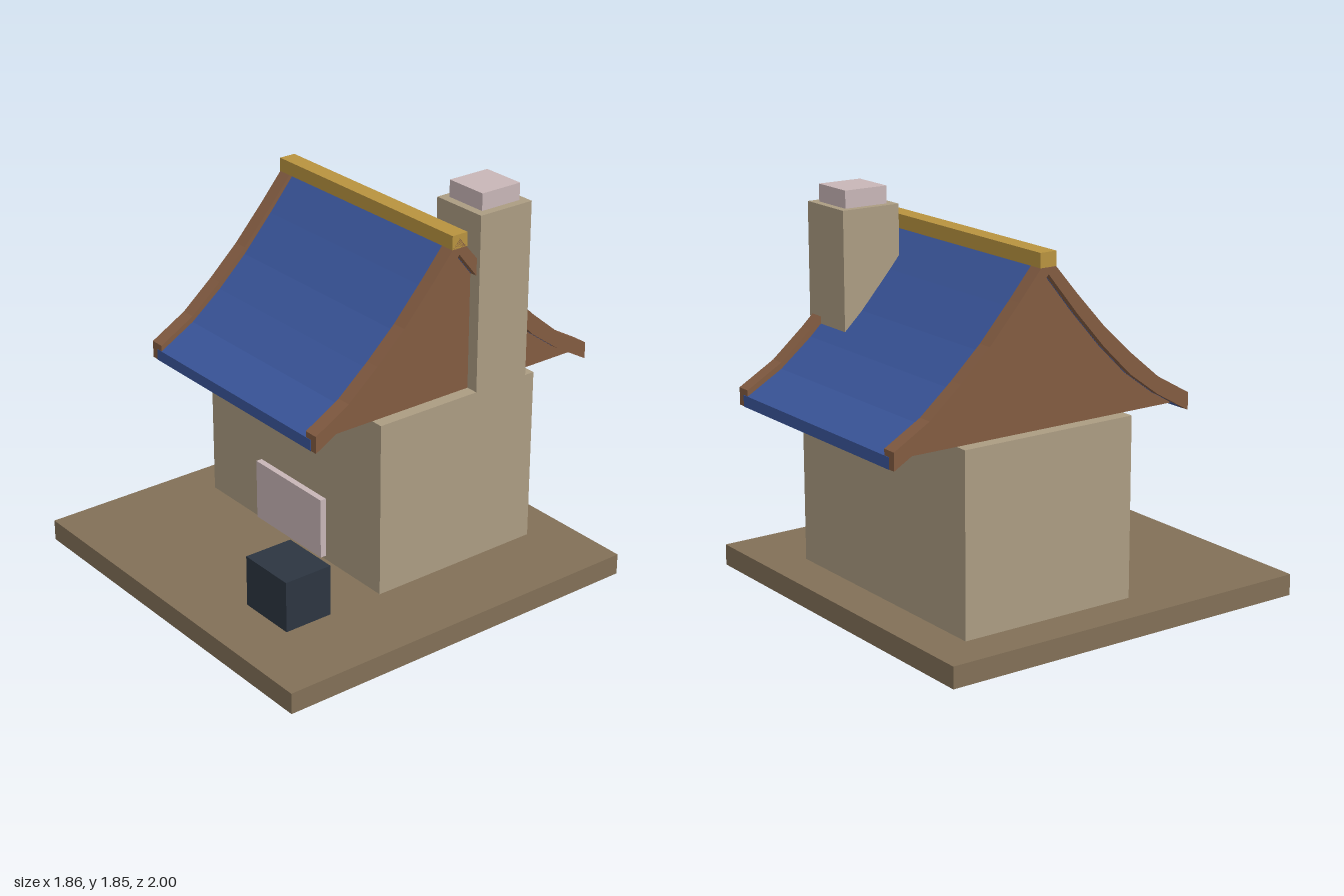
import * as THREE from 'three';

const mat = (name, color) => {
  const m = new THREE.MeshStandardMaterial({ color });
  m.name = name;
  return m;
};

export function createModel() {
  const group = new THREE.Group();
  const stone = mat('wall stone', 0xab9c82);
  const earth = mat('base earth', 0x827057);
  const blue = mat('roof blue', 0x3a569c);
  const wood = mat('wood brown', 0x825b41);
  const gold = mat('ridge gold', 0xb8933f);
  const pink = mat('pale pink', 0xc8b6b7);
  const slate = mat('dark slate', 0x2c3541);

  const add = (name, geometry, material) => {
    const mesh = new THREE.Mesh(geometry, material);
    mesh.name = name;
    group.add(mesh);
  };

  // Box given by its limits on each axis
  const box = (name, material, [x0, x1], [y0, y1], [z0, z1]) => {
    const g = new THREE.BoxGeometry(x1 - x0, y1 - y0, z1 - z0);
    g.translate((x0 + x1) / 2, (y0 + y1) / 2, (z0 + z1) / 2);
    add(name, g, material);
  };

  box('base', earth, [-0.93, 0.93], [0, 0.1], [-0.865, 1]);
  box('walls', stone, [-0.735, 0.535], [0.1, 0.935], [-0.665, 0.215]);
  box('door', pink, [-0.345, 0.145], [0.12, 0.415], [0.21, 0.245]);
  box('crate', slate, [0.245, 0.535], [0.1, 0.345], [0.49, 0.73]);
  box('chimney', stone, [0.245, 0.535], [0.93, 1.77], [-0.615, -0.325]);
  box('chimneyCap', pink, [0.28, 0.495], [1.77, 1.85], [-0.58, -0.365]);
  box('ridgeBeam', gold, [-0.715, 0.515], [1.64, 1.705], [-0.268, -0.185]);

  // Half roof profile: distance from ridge, underside height, trim top height
  const ridgeZ = -0.225;
  const profile = [
    [0.775, 0.9, 0.98], [0.6, 1.0, 1.08], [0.445, 1.113, 1.21],
    [0.3, 1.255, 1.345], [0.15, 1.425, 1.51], [0, 1.61, 1.685],
  ];
  // Mirror a half line from eave to ridge into a full line from front to back
  const mirror = (half) => [
    ...half, ...half.slice(0, -1).reverse().map(([d, y]) => [-d, y]),
  ];
  // Extrude a z-y outline along x
  const extrude = (name, material, outline, x0, x1) => {
    const shape = new THREE.Shape(outline.map(([d, y]) => new THREE.Vector2(d + ridgeZ, y)));
    const g = new THREE.ExtrudeGeometry(shape, { depth: x1 - x0, bevelEnabled: false });
    g.rotateY(-Math.PI / 2);
    g.translate(x1, 0, 0);
    add(name, g, material);
  };
  // Curved shell following the profile, with a share of its full thickness
  const shell = (share, grow) => {
    const e = (d) => (d > 0.7 ? d + grow : d);
    const under = profile.map(([d, lo]) => [e(d), lo - grow]);
    const over = profile.map(([d, lo, hi]) => [e(d), lo + (hi - lo) * share]);
    return [...mirror(under), ...mirror(over).reverse()];
  };

  extrude('roof', blue, shell(0.65, 0.001), -0.68, 0.48);

  // Raised trim boards along both gable ends
  for (const [side, x0, x1] of [['left', 0.445, 0.515], ['right', -0.715, -0.645]]) {
    extrude(side + 'RoofTrim', wood, shell(1, 0), x0, x1);
  }

  // Thin gable walls under the roof
  const gable = mirror([[0.71, 0.935], ...profile.slice(1).map(([d, lo]) => [d, lo + 0.01])]);
  extrude('leftGable', wood, gable, 0.455, 0.475);
  extrude('rightGable', wood, gable, -0.675, -0.655);

  return group;
}
